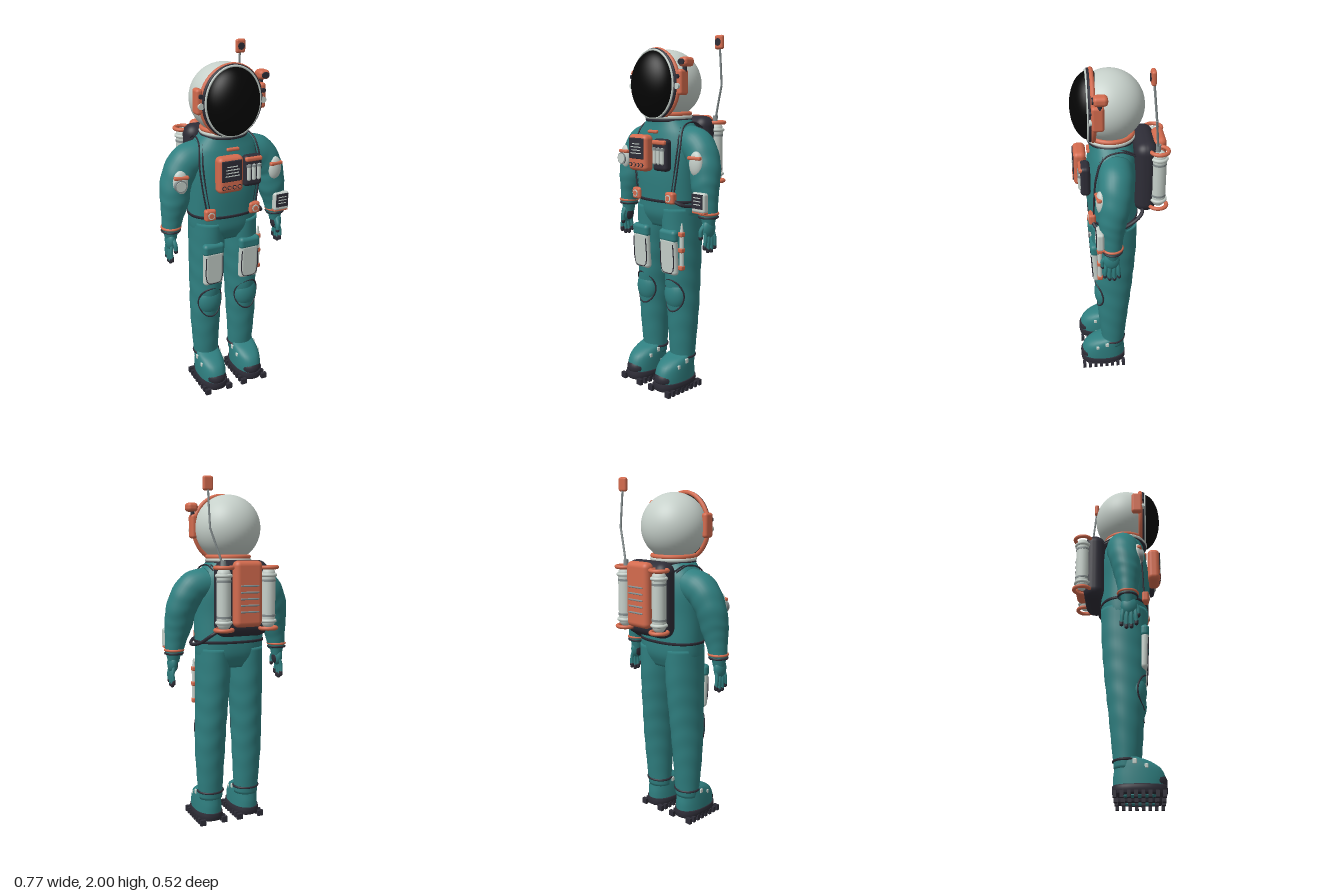
import * as THREE from 'three';
import { RoundedBoxGeometry } from 'three/addons/geometries/RoundedBoxGeometry.js';

const mat = (name, color) => new THREE.MeshStandardMaterial({ name, color });
const V = (x, y, z) => new THREE.Vector3(x, y, z);

// Skin through cross-sections [x, y, z, half width, half depth] along a path in the xy plane
function loft(secs, { rows = 32, cols = 32, power = 2, ripple = 0 } = {}) {
  const path = new THREE.CatmullRomCurve3(secs.map(s => V(s[0], s[1], s[2])));
  const size = new THREE.CatmullRomCurve3(secs.map((s, i) => V(s[3], s[4], i)));
  const pos = [], idx = [];
  for (let i = 0; i <= rows; i++) {
    const t = i / rows, c = path.getPoint(t), r = size.getPoint(t), d = path.getTangent(t);
    const len = Math.hypot(d.x, d.y) || 1, ux = -d.y / len, uy = d.x / len;
    for (let j = 0; j < cols; j++) {
      const a = j / cols * Math.PI * 2, co = Math.cos(a), si = Math.sin(a);
      const fold = 1 + ripple * Math.sin(t * 45 + 1.5 * Math.sin(a * 2)) * Math.sin(t * Math.PI);
      const p = Math.sign(co) * Math.abs(co) ** (2 / power) * r.x * fold;
      const q = Math.sign(si) * Math.abs(si) ** (2 / power) * r.y * fold;
      pos.push(c.x + ux * p, c.y + uy * p, c.z + q);
    }
  }
  const at = (i, j) => i * cols + j % cols;
  for (let i = 0; i < rows; i++) for (let j = 0; j < cols; j++) {
    idx.push(at(i, j), at(i, j + 1), at(i + 1, j), at(i, j + 1), at(i + 1, j + 1), at(i + 1, j));
  }
  const top = pos.length / 3;
  pos.push(...secs[0].slice(0, 3), ...secs[secs.length - 1].slice(0, 3));
  for (let j = 0; j < cols; j++) {
    idx.push(top, at(0, j + 1), at(0, j), top + 1, at(rows, j), at(rows, j + 1));
  }
  const g = new THREE.BufferGeometry();
  g.setAttribute('position', new THREE.Float32BufferAttribute(pos, 3));
  g.setIndex(idx);
  g.computeVertexNormals();
  return g;
}

// Elliptical hoop facing z, optionally curved back around a limb
function hoop(rx, ry, tube, bend = 0) {
  const pts = Array.from({ length: 32 }, (_, i) => {
    const a = i / 32 * Math.PI * 2, x = rx * Math.cos(a);
    return V(x, ry * Math.sin(a), -bend * x * x);
  });
  return new THREE.TubeGeometry(new THREE.CatmullRomCurve3(pts, true), 56, tube, 8, true);
}
const tube = (pts, r) => new THREE.TubeGeometry(new THREE.CatmullRomCurve3(pts.map(p => V(...p))), 24, r, 8);
const rbox = (w, h, d, r = 0.01, seg = 2) => new RoundedBoxGeometry(w, h, d, seg, r);
const box = (w, h, d) => new THREE.BoxGeometry(w, h, d);
const ball = (n = 24) => new THREE.SphereGeometry(1, n, Math.round(n * 0.7));
const rod = (r, h, r2 = r) => new THREE.CylinderGeometry(r2, r, h, 20);
const pill = (r, l) => new THREE.CapsuleGeometry(r, l, 4, 14);
const FLAT = [Math.PI / 2, 0, 0];

export function createModel() {
  const teal = mat('suit teal', 0x2f7f80), light = mat('shell grey', 0xc6d0ca);
  const orange = mat('trim orange', 0xd46b4e), dark = mat('rubber dark', 0x2e2d37);
  const black = mat('visor black', 0x050505), steel = mat('metal grey', 0x868f90);
  const root = new THREE.Group();
  root.name = 'astronaut';
  const add = (name, geo, m, p = [0, 0, 0], rot = [0, 0, 0], sc = [1, 1, 1]) => {
    const mesh = new THREE.Mesh(geo, m);
    mesh.name = name;
    mesh.position.set(...p);
    mesh.rotation.set(...rot);
    mesh.scale.set(...sc);
    root.add(mesh);
  };

  // Helmet, visor and neck
  add('helmetShell', ball(48), light, [0, 1.735, 0.05], [0, 0, 0], [0.186, 0.186, 0.186]);
  add('visor', ball(48), black, [0, 1.732, 0.15], [0, 0, 0], [0.155, 0.182, 0.105]);
  add('visorFrame', hoop(0.172, 0.184, 0.013), orange, [0, 1.734, 0.14]);
  add('visorSeal', hoop(0.166, 0.184, 0.009), dark, [0, 1.734, 0.155]);
  add('visorRim', hoop(0.158, 0.183, 0.006), light, [0, 1.734, 0.166]);
  add('neckRing', hoop(0.118, 0.118, 0.013), orange, [0, 1.575, 0.045], FLAT);
  add('neckSeal', hoop(0.122, 0.122, 0.011), light, [0, 1.558, 0.045], FLAT);
  add('neckGasket', hoop(0.122, 0.118, 0.01), dark, [0, 1.543, 0.045], FLAT);
  for (const s of [-1, 1]) {
    add('earPod', rbox(0.038, 0.135, 0.065, 0.016), orange, [s * 0.183, 1.745, 0.12]);
    add('earPodLens', rod(0.016, 0.02), light, [s * 0.18, 1.725, 0.153], FLAT);
    add('earPodCap', rod(0.012, 0.02), dark, [s * 0.18, 1.775, 0.153], FLAT);
  }
  add('lampArm', rod(0.012, 0.06), dark, [0.19, 1.82, 0.11]);
  add('lamp', rbox(0.062, 0.05, 0.075, 0.02), orange, [0.198, 1.85, 0.107]);
  add('lampLens', rod(0.018, 0.008), dark, [0.198, 1.85, 0.145], FLAT, [1.2, 1, 0.9]);

  // Torso
  add('torso', loft([[0, 1.56, 0.045, 0.115, 0.11], [0, 1.53, 0.042, 0.145, 0.11], [0, 1.47, 0.038, 0.19, 0.125],
    [0, 1.38, 0.04, 0.208, 0.138], [0, 1.25, 0.045, 0.204, 0.141], [0, 1.1, 0.037, 0.202, 0.138],
    [0, 1.02, 0.037, 0.199, 0.132], [0, 0.95, 0.037, 0.18, 0.1]], { power: 2.3, cols: 48 }), teal);
  add('belt', loft([[0, 1.108, 0.037, 0.206, 0.142], [0, 1.093, 0.037, 0.206, 0.142]],
    { power: 2.3, cols: 48, rows: 2 }), dark);
  add('collarTab', rbox(0.075, 0.018, 0.025, 0.008), orange, [0, 1.48, 0.162]);

  // Chest control box
  add('controlBox', rbox(0.148, 0.2, 0.07, 0.026, 4), orange, [-0.047, 1.365, 0.213]);
  add('controlScreen', rbox(0.118, 0.115, 0.012, 0.005), dark, [-0.047, 1.39, 0.245]);
  [0.06, 0.08, 0.07, 0.085].forEach((w, i) =>
    add('screenLine', box(w, 0.005, 0.004), light, [-0.045, 1.415 - i * 0.017, 0.252]));
  for (let i = 0; i < 4; i++) {
    const x = -0.092 + i * 0.03;
    add('buttonRim', rod(0.012, 0.008), dark, [x, 1.3, 0.247], FLAT);
    add('button', rod(0.008, 0.012), orange, [x, 1.3, 0.248], FLAT);
  }

  // Chest cartridge holder
  add('cartridgeHolder', rbox(0.108, 0.175, 0.055, 0.022, 4), dark, [0.1, 1.36, 0.19]);
  add('cartridgeBand', rbox(0.1, 0.025, 0.04, 0.01), orange, [0.1, 1.428, 0.205]);
  for (let i = -1; i <= 1; i++) {
    add('cartridge', pill(0.012, 0.07), light, [0.1 + i * 0.03, 1.355, 0.217]);
    add('cartridgeCap', rod(0.0135, 0.014), steel, [0.1 + i * 0.03, 1.392, 0.217]);
  }

  for (const s of [-1, 1]) {
    // Harness straps and buckles
    for (const o of [-0.01, 0.01]) {
      add('harnessStrap', tube([[s * (0.13 + o), 1.5, -0.08], [s * (0.14 + o), 1.532, 0], [s * (0.155 + o), 1.51, 0.09],
        [s * (0.172 + o), 1.4, 0.134], [s * (0.162 + o), 1.28, 0.146], [s * (0.138 + o), 1.13, 0.152]], 0.0045), dark);
    }
    add('beltBuckle', rbox(0.066, 0.066, 0.04, 0.014), orange, [s * 0.135, 1.125, 0.16]);
    add('buckleRim', rod(0.02, 0.008), light, [s * 0.135, 1.125, 0.18], FLAT);
    add('buckleKnob', rod(0.014, 0.012), orange, [s * 0.135, 1.125, 0.181], FLAT);

    // Arm with cuff rings
    add('arm', loft([[s * 0.13, 1.43, 0.03, 0.09, 0.09], [s * 0.22, 1.4, 0.035, 0.095, 0.092], [s * 0.28, 1.31, 0.045, 0.087, 0.086],
      [s * 0.3, 1.2, 0.06, 0.08, 0.075], [s * 0.317, 1.11, 0.063, 0.061, 0.058], [s * 0.328, 1.03, 0.064, 0.049, 0.05]],
      { rows: 48, ripple: 0.013 }), teal);
    add('cuffRing', hoop(0.051, 0.053, 0.007), orange, [s * 0.327, 1.055, 0.064], FLAT);
    add('cuffSeal', hoop(0.05, 0.051, 0.006), dark, [s * 0.328, 1.036, 0.064], FLAT);

    // Glove
    add('gloveWrist', rod(0.032, 0.06, 0.044), teal, [s * 0.33, 1.015, 0.066]);
    add('palm', ball(), teal, [s * 0.336, 0.975, 0.07], [0, 0, 0], [0.028, 0.055, 0.044]);
    add('palmPad', ball(), dark, [s * 0.322, 0.968, 0.07], [0, 0, 0], [0.017, 0.038, 0.03]);
    [0.875, 0.86, 0.862, 0.88].forEach((y, i) => {
      const z = 0.038 + i * 0.021, spread = z + (i - 1.5) * 0.005;
      add('finger', tube([[s * 0.337, 0.96, z], [s * 0.346, 0.92, (z + spread) / 2], [s * 0.344, y, spread]], 0.0105), teal);
      add('fingertip', pill(0.011, 0.014), dark, [s * 0.343, y - 0.003, spread]);
    });
    add('thumb', tube([[s * 0.33, 0.995, 0.095], [s * 0.325, 0.965, 0.118], [s * 0.323, 0.93, 0.118]], 0.012), teal);
    add('thumbTip', ball(14), dark, [s * 0.323, 0.928, 0.118], [0, 0, 0], [0.0125, 0.016, 0.0125]);

    // Arm patch
    add('armPatch', ball(), light, [s * 0.287, 1.32, 0.12], [0, s * 0.15, 0], [0.042, 0.068, 0.025]);
    add('armPatchBand', rbox(0.084, 0.02, 0.026, 0.008), orange, [s * 0.287, 1.352, 0.133], [0, s * 0.15, 0]);

    // Leg
    add('leg', loft([[s * 0.1, 1.06, 0.037, 0.099, 0.13], [s * 0.102, 0.9, 0.037, 0.098, 0.127], [s * 0.108, 0.75, 0.04, 0.094, 0.119],
      [s * 0.114, 0.6, 0.043, 0.09, 0.108], [s * 0.118, 0.45, 0.046, 0.088, 0.094], [s * 0.118, 0.3, 0.048, 0.08, 0.081],
      [s * 0.116, 0.15, 0.048, 0.072, 0.066]], { rows: 60, ripple: 0.013 }), teal);

    // Thigh pocket
    add('thighPocket', rbox(0.12, 0.215, 0.045, 0.022, 4), light, [s * 0.112, 0.795, 0.148], [0.05, 0, 0]);
    add('pocketFlap', rbox(0.128, 0.072, 0.05, 0.022, 4), teal, [s * 0.112, 0.912, 0.152], [0.05, 0, 0]);
    add('pocketSeam', tube([[s * 0.112 - 0.05, 0.87, 0.172], [s * 0.112 - 0.05, 0.74, 0.166], [s * 0.112 - 0.035, 0.705, 0.164],
      [s * 0.112 + 0.035, 0.705, 0.164], [s * 0.112 + 0.05, 0.74, 0.166], [s * 0.112 + 0.05, 0.87, 0.172]], 0.003), dark);

    // Knee pad
    add('kneePad', ball(), teal, [s * 0.117, 0.565, 0.103], [0, 0, 0], [0.074, 0.096, 0.055]);
    add('kneePadSeam', hoop(0.072, 0.095, 0.005, 7), dark, [s * 0.117, 0.565, 0.146], [0.06, 0, 0]);

    // Boot
    const bx = s * 0.119;
    add('bootCuff', hoop(0.075, 0.069, 0.007), dark, [s * 0.116, 0.192, 0.048], FLAT);
    add('boot', loft([[bx, 0.208, 0.052, 0.066, 0.062], [bx, 0.188, 0.08, 0.073, 0.092], [bx, 0.155, 0.103, 0.078, 0.119],
      [bx, 0.105, 0.112, 0.08, 0.134], [bx, 0.05, 0.113, 0.08, 0.135]], { power: 2.2, rows: 20 }), teal);
    add('toeCap', ball(), dark, [bx, 0.085, 0.186], [0, 0, 0], [0.064, 0.055, 0.068]);
    add('sole', loft([[bx, 0.066, 0.113, 0.083, 0.139], [bx, 0.045, 0.113, 0.086, 0.141], [bx, 0.022, 0.113, 0.082, 0.138]],
      { power: 2.4, rows: 8 }), dark);
    add('soleInset', rod(1, 0.006), teal, [bx, 0.021, 0.113], [0, 0, 0], [0.042, 1, 0.095]);
    for (const o of [-1, 1]) {
      for (let i = 0; i < 8; i++) {
        add('treadLug', box(0.034, 0.034, 0.019), dark, [bx + o * 0.069, 0.017, -0.012 + i * 0.0355]);
      }
      add('bootBuckle', rbox(0.014, 0.028, 0.022, 0.005), light, [bx + o * 0.073, 0.178, 0.09]);
      add('bootStud', rbox(0.014, 0.024, 0.02, 0.005), light, [bx + o * 0.07, 0.155, 0.148]);
    }

    // Air tank with guard rings
    const tx = s * 0.133;
    add('airTank', pill(0.039, 0.26), light, [tx, 1.355, -0.203]);
    for (const [y, f] of [[1.522, 1.48], [1.188, 1.228]]) {
      add('tankGuard', new THREE.TorusGeometry(0.047, 0.011, 10, 32), orange, [tx, y, -0.203], FLAT);
      add('tankFlange', new THREE.TorusGeometry(0.038, 0.01, 10, 32), light, [tx, f, -0.203], FLAT);
      add('tankClamp', rod(0.041, 0.012), steel, [tx, f + (f > 1.3 ? -0.03 : 0.03), -0.203]);
    }
  }

  // Badge on the right arm, wrist computer on the left
  add('badgeRim', rod(0.034, 0.02), steel, [-0.295, 1.31, 0.139], FLAT);
  add('badge', rod(0.028, 0.026), light, [-0.295, 1.31, 0.139], FLAT);
  add('wristComputer', rbox(0.095, 0.108, 0.04, 0.014), light, [0.326, 1.12, 0.13]);
  add('wristScreen', box(0.076, 0.078, 0.008), dark, [0.326, 1.128, 0.149]);
  add('wristStripe', rbox(0.09, 0.012, 0.036, 0.004), orange, [0.326, 1.066, 0.128]);
  for (let i = 0; i < 3; i++) {
    add('wristLine', box(0.05, 0.005, 0.004), light, [0.326, 1.148 - i * 0.018, 0.153]);
  }

  // Torch holstered on the left thigh
  add('torchBody', rod(0.012, 0.19), light, [0.186, 0.83, 0.125]);
  add('torchTip', rod(0.012, 0.06, 0.004), light, [0.186, 0.955, 0.125]);
  for (const y of [0.735, 0.835, 0.925]) add('torchClip', rbox(0.032, 0.028, 0.032, 0.008), orange, [0.184, y, 0.125]);

  // Backpack
  add('backpack', rbox(0.31, 0.42, 0.125, 0.058, 5), dark, [0, 1.35, -0.135]);
  add('backpackPanel', rbox(0.165, 0.36, 0.07, 0.03, 4), orange, [0, 1.38, -0.215]);
  for (let i = 0; i < 5; i++) {
    add('panelVent', rbox(0.11, 0.01, 0.01, 0.004), steel, [0, 1.285 + i * 0.035, -0.25]);
  }
  add('hose', tube([[0.1, 1.19, -0.12], [0.165, 1.15, -0.11], [0.2, 1.1, -0.03], [0.218, 1.08, 0.06],
    [0.195, 1.09, 0.135], [0.14, 1.12, 0.165]], 0.01), dark);

  // Antenna
  add('antennaBase', rod(0.014, 0.04), steel, [0.133, 1.54, -0.195]);
  add('antennaLower', tube([[0.133, 1.53, -0.195], [0.165, 1.63, -0.183], [0.198, 1.73, -0.172]], 0.006), steel);
  add('antennaUpper', tube([[0.198, 1.73, -0.172], [0.2, 1.85, -0.16], [0.2, 1.95, -0.15]], 0.006), steel);
  add('antennaHead', rbox(0.058, 0.076, 0.026, 0.012), orange, [0.2, 1.961, -0.148]);
  add('antennaFace', rod(0.02, 0.006), dark, [0.2, 1.961, -0.135], FLAT);
  return root;
}
